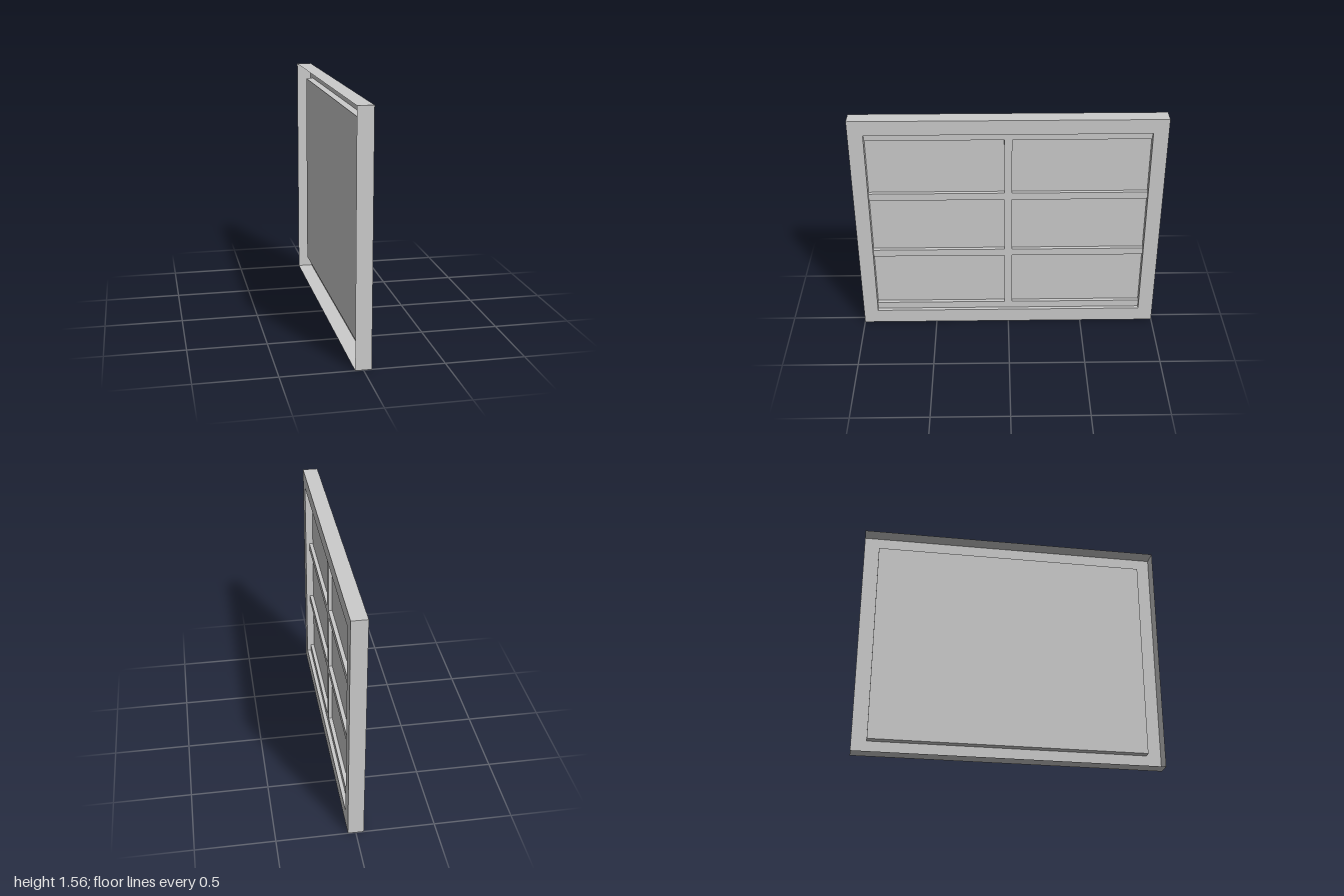
import * as THREE from 'three';

const H = 1.564;                       // overall height
const FRONT = 0.05, BACK = -0.05;      // outer depth of the frame along x
const PANE = 0, BAR_FRONT = 0.025;     // recessed pane and glazing bar depths
const BAR = 0.05;                      // glazing bar width
const OUTER = { w: 1, y0: 0, y1: H };
const INNER = { w: 0.903, y0: 0.1, y1: H - 0.098 };

// Corners of a rectangle, anticlockwise as seen from +x (u = -z)
const corners = (r) => [[-r.w, r.y0], [r.w, r.y0], [r.w, r.y1], [-r.w, r.y1]];
const points = (list) => list.map(([u, v]) => new THREE.Vector2(u, v));

// Four open walls round a rectangle, running from xa to xb
function wallRing(rect, xa, xb) {
  const pos = [];
  const c = corners(rect);
  c.forEach(([u, v], i) => {
    const [u2, v2] = c[(i + 1) % 4];
    const a = [xa, v, -u], b = [xa, v2, -u2], d = [xb, v2, -u2], e = [xb, v, -u];
    pos.push(...a, ...b, ...d, ...a, ...d, ...e);
  });
  const geo = new THREE.BufferGeometry();
  geo.setAttribute('position', new THREE.Float32BufferAttribute(pos, 3));
  geo.computeVertexNormals();
  return geo;
}

export function createModel() {
  const group = new THREE.Group();
  const material = new THREE.MeshStandardMaterial({ color: 0xcccccc, side: THREE.DoubleSide });
  const add = (name, geo) => {
    const mesh = new THREE.Mesh(geo, material);
    mesh.name = name;
    group.add(mesh);
  };

  // Thin outer casing, open at the back
  add('frameSides', wallRing(OUTER, BACK, FRONT));

  // Flat frame border facing +x
  const border = new THREE.Shape(points(corners(OUTER)));
  border.holes.push(new THREE.Path(points(corners(INNER))));
  add('frameFace', new THREE.ShapeGeometry(border).rotateY(Math.PI / 2).translate(FRONT, 0, 0));

  // Walls of the opening, stepping back from the border to the pane
  add('openingReveal', wallRing(INNER, FRONT, PANE));

  // Recessed pane
  const pane = new THREE.Shape(points(corners(INNER)));
  add('pane', new THREE.ShapeGeometry(pane).rotateY(Math.PI / 2).translate(PANE, 0, 0));

  // Glazing bars: four horizontals, joined by a central upright
  const pitch = (INNER.y1 - INNER.y0 - BAR) / 3;
  const depth = BAR_FRONT - PANE, x = (BAR_FRONT + PANE) / 2;
  for (let i = 0; i < 4; i++) {
    const y = INNER.y0 + BAR / 2 + i * pitch;
    add('horizontalBar', new THREE.BoxGeometry(depth, BAR, INNER.w * 2).translate(x, y, 0));
    if (i < 3) {
      add('uprightBar', new THREE.BoxGeometry(depth, pitch - BAR, BAR).translate(x, y + pitch / 2, 0));
    }
  }
  return group;
}
